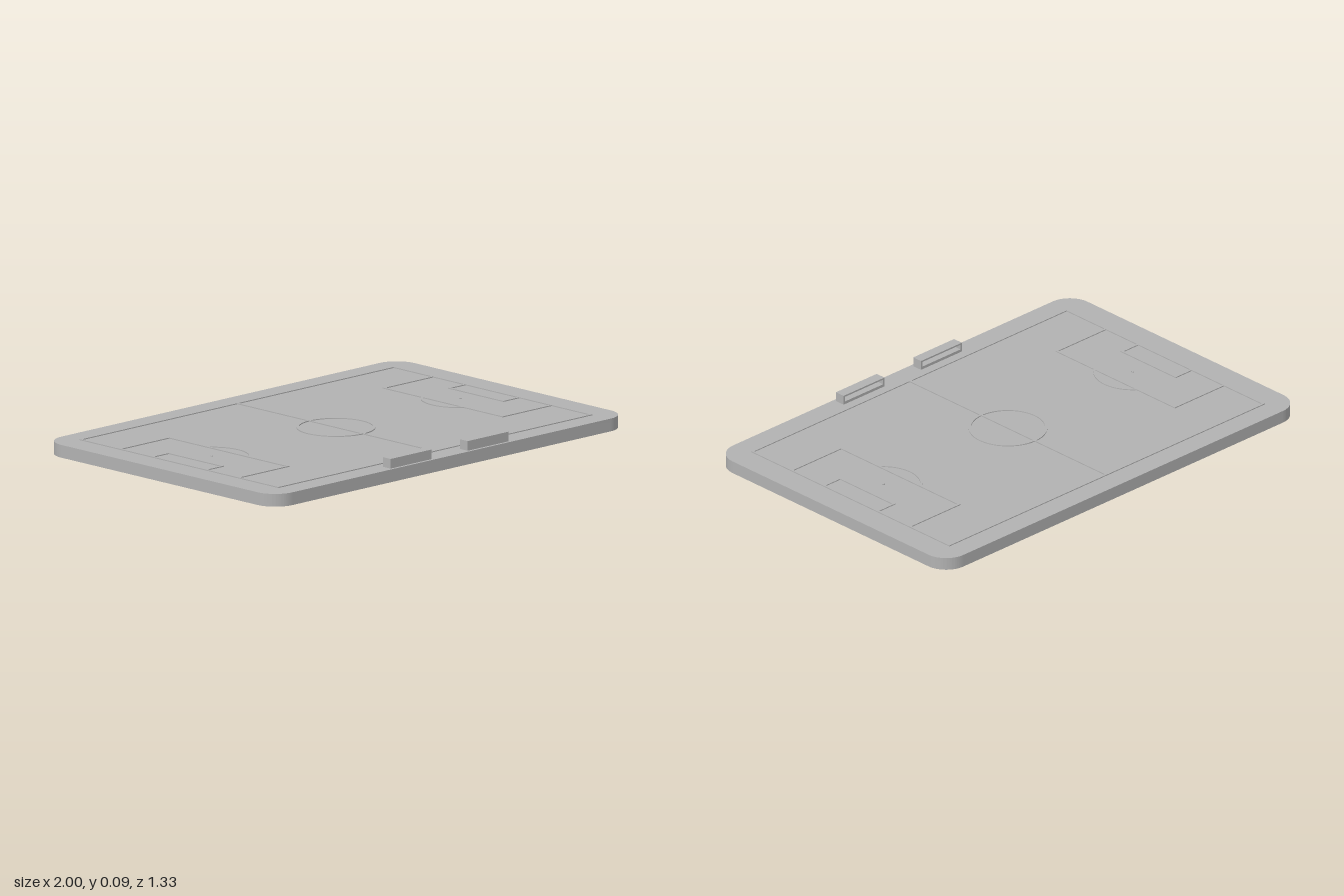
import * as THREE from 'three';
import { toCreasedNormals } from 'three/addons/utils/BufferGeometryUtils.js';

const BASE_H = 0.053;   // slab thickness
const LINE_H = 0.004;   // raised height of the markings
const LINE_W = 0.009;
const PITCH_X = 0.885, PITCH_Z = 0.57;   // half extents of the pitch

export function createModel() {
  const group = new THREE.Group();
  group.name = 'footballPitch';
  const grey = new THREE.MeshStandardMaterial({ color: 0xb2b2b2 });
  grey.name = 'plain grey';

  const add = (geometry, name, parent = group) => {
    const mesh = new THREE.Mesh(geometry, grey);
    mesh.name = name;
    parent.add(mesh);
    return mesh;
  };

  // Extrude a plan shape upwards from height y
  const slab = (shape, height, y) => {
    const g = new THREE.ExtrudeGeometry(shape, { depth: height, bevelEnabled: false, curveSegments: 32 });
    g.rotateX(-Math.PI / 2);
    g.translate(0, y, 0);
    return toCreasedNormals(g, 0.6);
  };

  // Base with rounded corners
  const hx = 1, hz = 0.667, r = 0.1;
  const outline = new THREE.Shape();
  outline.absarc(hx - r, hz - r, r, 0, Math.PI / 2);
  outline.absarc(-hx + r, hz - r, r, Math.PI / 2, Math.PI);
  outline.absarc(-hx + r, -hz + r, r, Math.PI, Math.PI * 1.5);
  outline.absarc(hx - r, -hz + r, r, Math.PI * 1.5, Math.PI * 2);
  outline.closePath();
  add(slab(outline, BASE_H, 0), 'base');

  // Raised markings
  const markings = new THREE.Group();
  markings.name = 'markings';
  group.add(markings);

  const bar = (x, z, w, d, name) => {
    const g = new THREE.BoxGeometry(w, LINE_H, d);
    g.translate(x, BASE_H + LINE_H / 2, z);
    add(g, name, markings);
  };
  // Rectangular frame between two x positions, symmetric in z
  const frame = (x0, x1, z, name) => {
    for (const x of [x0, x1]) bar(x, 0, LINE_W, 2 * z + LINE_W, name);
    for (const s of [-1, 1]) bar((x0 + x1) / 2, s * z, Math.abs(x1 - x0) - LINE_W, LINE_W, name);
  };
  const arc = (x, radius, a0, a1, name) => {
    const s = new THREE.Shape();
    s.absarc(x, 0, radius + LINE_W / 2, a0, a1, false);
    s.absarc(x, 0, radius - LINE_W / 2, a1, a0, true);
    s.closePath();
    add(slab(s, LINE_H, BASE_H), name, markings);
  };

  frame(-PITCH_X, PITCH_X, PITCH_Z, 'touchLine');
  bar(0, 0, LINE_W, 2 * PITCH_Z - LINE_W, 'halfwayLine');

  // Centre circle as two half rings
  arc(0, 0.155, 0, Math.PI, 'centreCircle');
  arc(0, 0.155, Math.PI, Math.PI * 2, 'centreCircle');

  // Both goal ends
  for (const s of [-1, 1]) {
    frame(s * PITCH_X, s * 0.608, 0.342, 'penaltyArea');
    frame(s * PITCH_X, s * 0.795, 0.155, 'goalArea');
    const spot = new THREE.CylinderGeometry(0.006, 0.006, LINE_H, 16);
    spot.translate(s * 0.703, BASE_H + LINE_H / 2, 0);
    add(spot, 'penaltySpot', markings);
    const mid = s < 0 ? 0 : Math.PI;
    arc(s * 0.703, 0.155, mid - 0.91, mid + 0.91, 'penaltyArc');
  }

  // Dugouts: hollow shelters opening towards the pitch
  const w = 0.23, h = 0.04, d = 0.045, t = 0.007;
  const rect = (Type, x, y0, y1) => {
    const p = new Type();
    p.moveTo(-x, y0);
    p.lineTo(x, y0);
    p.lineTo(x, y1);
    p.lineTo(-x, y1);
    p.closePath();
    return p;
  };
  for (const s of [-1, 1]) {
    const dugout = new THREE.Group();
    dugout.name = s > 0 ? 'leftDugout' : 'rightDugout';
    dugout.position.set(s * 0.218, BASE_H, 0.61);
    const shell = rect(THREE.Shape, w / 2, 0, h);
    shell.holes.push(rect(THREE.Path, w / 2 - t, 0.012, h - t));
    add(new THREE.ExtrudeGeometry(shell, { depth: d - t, bevelEnabled: false }), 'shelterShell', dugout);
    const back = new THREE.BoxGeometry(w, h, t);
    back.translate(0, h / 2, d - t / 2);
    add(back, 'shelterBack', dugout);
    group.add(dugout);
  }
  return group;
}
